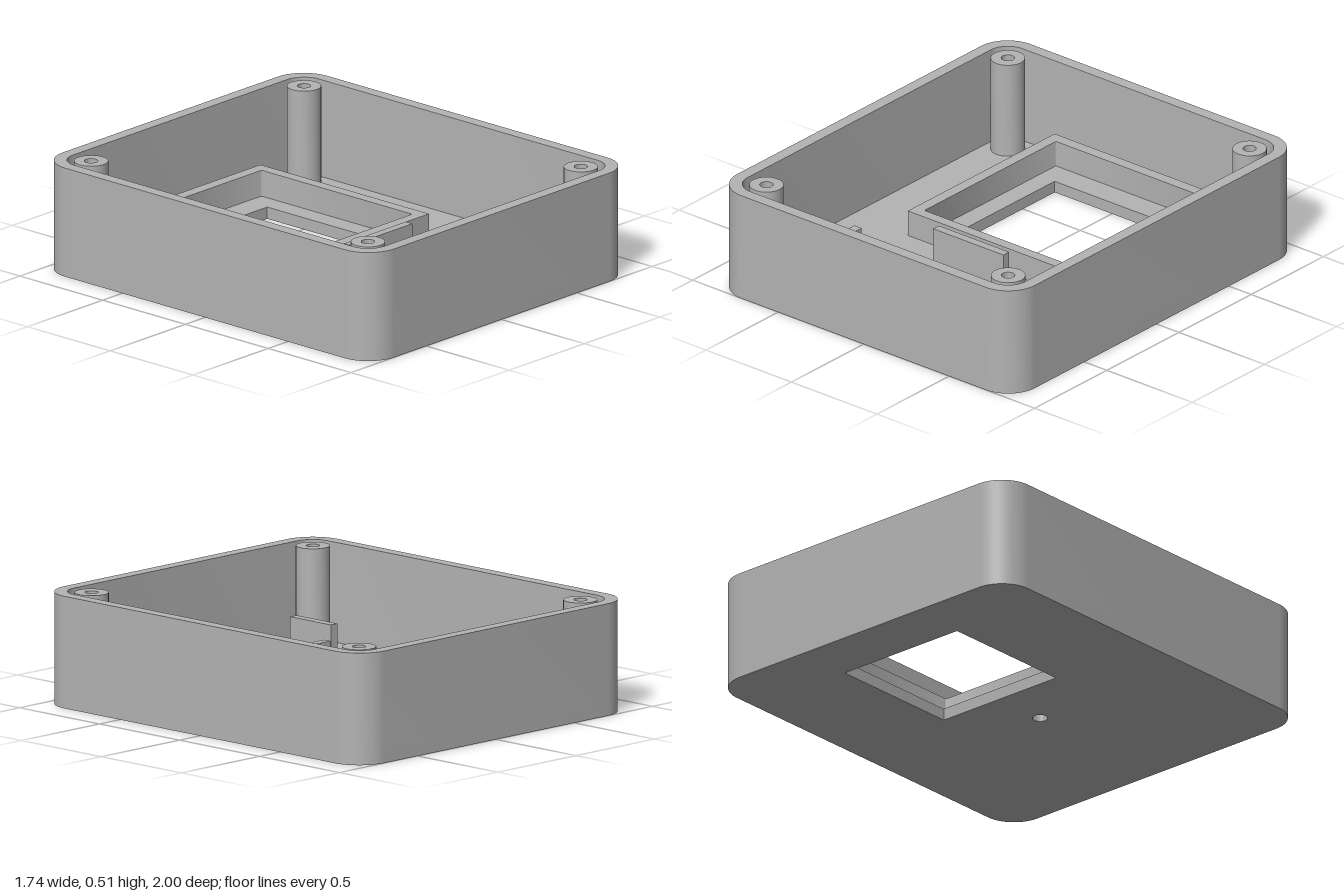
import * as THREE from 'three';
import { toCreasedNormals } from 'three/addons/utils/BufferGeometryUtils.js';

const HEIGHT = 0.512, FLOOR = 0.055;

// Rectangle with rounded corners on the ground plane, given by centre and half sizes
function roundedRect(Type, hx, hz, r, cz = 0) {
  const p = new Type();
  p.absarc(hx - r, hz - r - cz, r, 0, Math.PI / 2);
  p.absarc(-hx + r, hz - r - cz, r, Math.PI / 2, Math.PI);
  p.absarc(-hx + r, -hz + r - cz, r, Math.PI, Math.PI * 1.5);
  p.absarc(hx - r, -hz + r - cz, r, Math.PI * 1.5, Math.PI * 2);
  p.closePath();
  return p;
}

function rect(Type, hx, z0, z1) {
  const p = new Type();
  p.moveTo(-hx, -z1);
  p.lineTo(hx, -z1);
  p.lineTo(hx, -z0);
  p.lineTo(-hx, -z0);
  p.closePath();
  return p;
}

function circle(Type, r, z = 0) {
  const p = new Type();
  p.absarc(0, -z, r, 0, Math.PI * 2);
  return p;
}

// Extrude a ground-plane shape upward from y0 to y1
function slab(shape, holes, y0, y1) {
  shape.holes.push(...holes);
  const g = new THREE.ExtrudeGeometry(shape, { depth: y1 - y0, bevelEnabled: false, curveSegments: 16 });
  g.rotateX(-Math.PI / 2);
  g.translate(0, y0, 0);
  return toCreasedNormals(g, 0.6);
}

export function createModel() {
  const group = new THREE.Group();
  const grey = new THREE.MeshStandardMaterial({ color: 0xb3b3b3 });
  grey.name = 'grey plastic';

  const add = (name, geometry, x = 0, y = 0, z = 0) => {
    const mesh = new THREE.Mesh(geometry, grey);
    mesh.name = name;
    mesh.position.set(x, y, z);
    group.add(mesh);
  };

  // Floor with the display window and a small round hole
  add('floor', slab(roundedRect(THREE.Shape, 0.87, 1, 0.155), [
    rect(THREE.Path, 0.335, -0.72, -0.055),
    circle(THREE.Path, 0.034, 0.215),
  ], 0, FLOOR));

  // Outer walls
  add('walls', slab(roundedRect(THREE.Shape, 0.87, 1, 0.155),
    [roundedRect(THREE.Path, 0.812, 0.942, 0.1)], FLOOR, HEIGHT));

  // Raised frame around the window
  add('windowFrame', slab(rect(THREE.Shape, 0.485, -0.897, 0.12),
    [roundedRect(THREE.Path, 0.431, 0.455, 0.006, -0.387)], FLOOR, 0.177));

  // Hollow screw posts in the corners
  const post = slab(circle(THREE.Shape, 0.077), [circle(THREE.Path, 0.03)], FLOOR, 0.508);
  for (const x of [-1, 1]) for (const z of [-1, 1]) add('screwPost', post, x * 0.707, 0, z * 0.836);

  // Upright support ribs
  const ribHeight = 0.236 - FLOOR, ribY = FLOOR + ribHeight / 2;
  add('centreRib', new THREE.BoxGeometry(0.41, ribHeight, 0.04), 0, ribY, 0.255);
  for (const x of [-0.475, 0.47]) add('sideRib', new THREE.BoxGeometry(0.042, ribHeight, 0.255), x, ribY, 0.604);

  return group;
}
